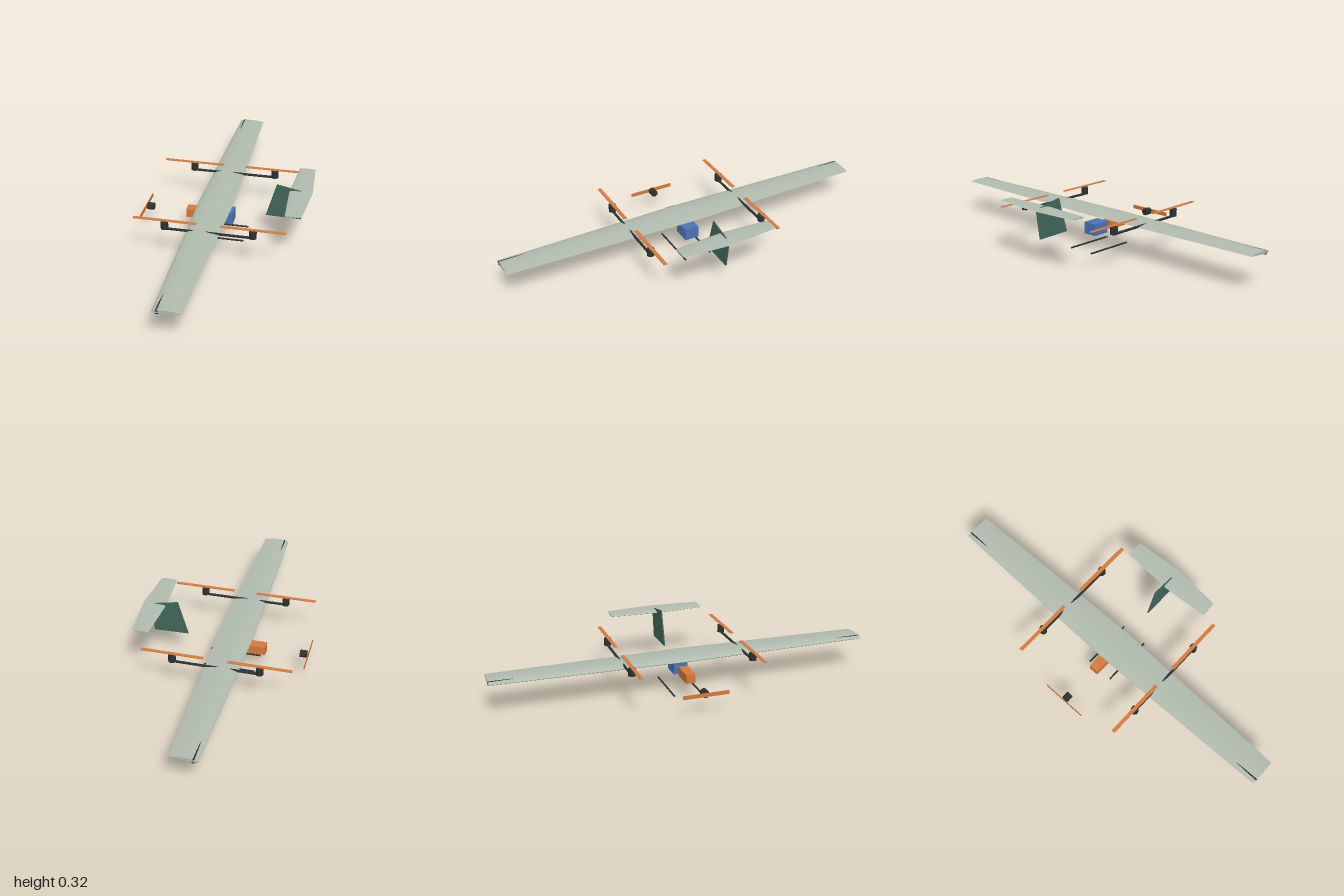
import * as THREE from 'three';
import { toCreasedNormals } from 'three/addons/utils/BufferGeometryUtils.js';

const mat = (color) => new THREE.MeshStandardMaterial({ color });
const skin = mat(0xb0bbae), green = mat(0x41685b), dark = mat(0x2a3232), orange = mat(0xd67a3a), blue = mat(0x4a74b8);

// Unit-chord airfoil, counter-clockwise from the trailing edge
function airfoil(thick, camber, n = 18) {
  const pts = [];
  for (let j = 0; j < 2 * n; j++) {
    const x = (1 + Math.cos((Math.PI * j) / n)) / 2;
    const t = 5 * thick * (0.2969 * Math.sqrt(x) - 0.126 * x - 0.3516 * x ** 2 + 0.2843 * x ** 3 - 0.1036 * x ** 4);
    const p = 0.4;
    const c = x < p ? (camber / p ** 2) * (2 * p * x - x * x) : (camber / (1 - p) ** 2) * (1 - 2 * p + 2 * p * x - x * x);
    pts.push([x, c + (j <= n ? t : -t)]);
  }
  return pts;
}

// Skin lofted along z through stations { z, lead, trail, yLead, yTrail }
function loft(section, stations) {
  const m = section.length, pos = [], idx = [];
  for (const s of stations) {
    const chord = s.trail - s.lead;
    for (const [u, v] of section) pos.push(s.lead + u * chord, s.yLead + u * (s.yTrail - s.yLead) + v * chord, s.z);
  }
  for (let i = 0; i < stations.length - 1; i++) {
    for (let j = 0; j < m; j++) {
      const a = i * m + j, b = i * m + ((j + 1) % m);
      idx.push(a, b, b + m, a, b + m, a + m);
    }
  }
  const last = (stations.length - 1) * m;
  for (let j = 1; j < m - 1; j++) idx.push(0, j + 1, j, last, last + j, last + j + 1);
  const g = new THREE.BufferGeometry();
  g.setAttribute('position', new THREE.Float32BufferAttribute(pos, 3));
  g.setIndex(idx);
  return toCreasedNormals(g, 0.7);
}

export function createModel() {
  const model = new THREE.Group();
  model.name = 'aircraft';
  const add = (name, geo, material, x = 0, y = 0, z = 0) => {
    const mesh = new THREE.Mesh(geo, material);
    mesh.name = name;
    mesh.position.set(x, y, z);
    model.add(mesh);
    return mesh;
  };
  const box = (w, h, d) => new THREE.BoxGeometry(w, h, d);
  const rod = (r, len) => new THREE.CylinderGeometry(r, r, len, 24);
  const rodX = (r, len) => rod(r, len).rotateZ(Math.PI / 2);

  // Main wing, tapering to both tips, with its round spar
  const tip = { lead: -0.134, trail: 0.005, yLead: 0.176, yTrail: 0.182 };
  const root = { z: 0, lead: -0.155, trail: 0.03, yLead: 0.176, yTrail: 0.182 };
  add('wing', loft(airfoil(0.12, 0.02), [{ ...tip, z: -1 }, root, { ...tip, z: 1 }]), skin);
  add('wingSpar', rod(0.011, 2).rotateX(Math.PI / 2), dark, -0.11, 0.1762, 0);

  // Tailplane
  const tailTip = { lead: 0.334, trail: 0.418, yLead: 0.286, yTrail: 0.29 };
  const tailRoot = { z: 0, lead: 0.318, trail: 0.439, yLead: 0.286, yTrail: 0.29 };
  add('tailplane', loft(airfoil(0.1, 0), [{ ...tailTip, z: -0.255 }, tailRoot, { ...tailTip, z: 0.255 }]), skin);

  // Swept fin plate
  const fin = new THREE.Shape([[0.199, 0.134], [0.383, 0.13], [0.407, 0.288], [0.253, 0.319]].map(([x, y]) => new THREE.Vector2(x, y)));
  add('fin', new THREE.ExtrudeGeometry(fin, { depth: 0.006, bevelEnabled: false }), green, 0, 0, -0.003);

  // Lift booms with a motor and a rotor at each end, and landing skids
  for (const [side, s] of [['left', -1], ['right', 1]]) {
    add(side + 'Boom', rodX(0.0065, 0.447), dark, -0.0325, 0.184, s * 0.32);
    for (const [end, x] of [['Front', -0.256], ['Rear', 0.191]]) {
      add(side + end + 'Motor', rod(0.019, 0.038), dark, x, 0.203, s * 0.32);
      add(side + end + 'Rotor', box(0.324, 0.003, 0.019), orange, x, 0.2295, s * 0.32);
    }
    add(side + 'Skid', rodX(0.0045, 0.27), dark, -0.04, 0.0045, s * 0.072);
  }

  // Nose motor and propeller
  add('noseMotor', rodX(0.019, 0.036), dark, -0.418, 0.112, 0);
  add('nosePropeller', box(0.003, 0.02, 0.24), orange, -0.4425, 0.112, 0);

  // Battery and payload boxes under the wing
  add('battery', box(0.12, 0.048, 0.05), orange, -0.16, 0.108, 0);
  add('payload', box(0.095, 0.063, 0.076), blue, -0.0165, 0.1085, 0);
  return model;
}
